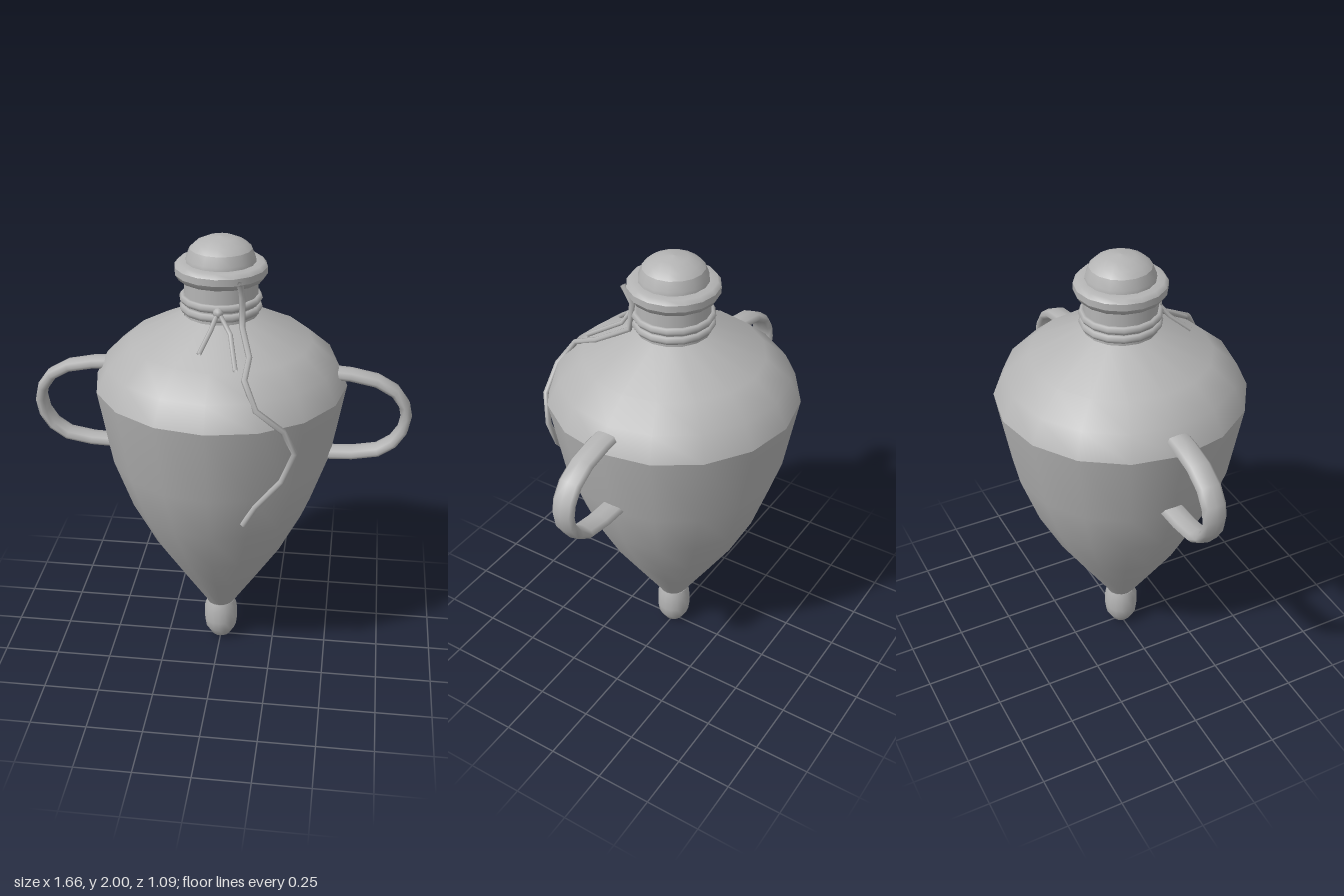
import * as THREE from 'three';

const SIDES = 16;

export function createModel() {
  const group = new THREE.Group();
  const clay = new THREE.MeshStandardMaterial({ color: 0xb4b4b4, side: THREE.DoubleSide });
  clay.name = 'grey clay';

  const add = (name, geometry) => {
    const mesh = new THREE.Mesh(geometry, clay);
    mesh.name = name;
    group.add(mesh);
    return mesh;
  };
  // Smooth turned section; separate sections meet in a sharp edge
  const turn = (name, profile) =>
    add(name, new THREE.LatheGeometry(profile.map(([r, y]) => new THREE.Vector2(r, y)), SIDES));

  // Tube whose rings sit exactly on the given points, keeping the bends angular
  const strand = (name, points, radius, sides) => {
    const curve = new THREE.CatmullRomCurve3(
      points.map((p) => new THREE.Vector3(...p)), false, 'catmullrom');
    curve.getUtoTmapping = (u) => u;
    return add(name, new THREE.TubeGeometry(curve, points.length - 1, radius, sides));
  };

  // Foot and body
  turn('foot', [[0, 0.005], [0.045, 0.02], [0.072, 0.065], [0.078, 0.11], [0.077, 0.17], [0.065, 0.21]]);
  turn('lowerBody', [[0.062, 0.21], [0.185, 0.4], [0.3, 0.58], [0.405, 0.79], [0.485, 1.02], [0.545, 1.36]]);
  turn('shoulder', [[0.545, 1.36], [0.495, 1.465], [0.39, 1.555], [0.16, 1.67]]);

  // Neck with two cord rings
  turn('neck', [[0.158, 1.665], [0.155, 1.83]]);
  for (const y of [1.7, 1.74]) {
    const ring = add('neckRing', new THREE.TorusGeometry(0.158, 0.018, 6, SIDES));
    ring.rotation.x = Math.PI / 2;
    ring.position.y = y;
  }

  // Lip
  turn('lipUnderside', [[0.15, 1.82], [0.18, 1.825], [0.195, 1.848]]);
  turn('lipRim', [[0.195, 1.848], [0.195, 1.877]]);
  turn('lipTop', [[0.195, 1.877], [0.18, 1.895], [0.14, 1.895]]);

  // Stopper
  turn('stopperSide', [[0.148, 1.89], [0.146, 1.91], [0.13, 1.95]]);
  turn('stopperDome', [[0.13, 1.95], [0.105, 1.973], [0.06, 1.993], [0, 2]]);

  // Flattened loop handles, one per side
  const loop = [[0.47, 1.418], [0.56, 1.412], [0.67, 1.39], [0.75, 1.345], [0.793, 1.285], [0.805, 1.23],
    [0.793, 1.165], [0.755, 1.105], [0.69, 1.06], [0.58, 1.04], [0.45, 1.035]];
  for (const [name, side] of [['leftHandle', 1], ['rightHandle', -1]]) {
    const handle = strand(name, loop.map(([x, y]) => [x * side, y, 0]), 0.025, 8);
    handle.scale.z = 2.15;
  }

  // Long cord hanging from the lip over the shoulder
  strand('longCord', [[0.1, 1.86, 0.18], [0.103, 1.79, 0.135], [0.106, 1.665, 0.15], [0.15, 1.59, 0.29],
    [0.143, 1.54, 0.405], [0.195, 1.44, 0.468], [0.305, 1.35, 0.455], [0.352, 1.235, 0.415],
    [0.3, 1.1, 0.415], [0.195, 0.98, 0.43], [0.145, 0.89, 0.43]], 0.013, 6);

  // Knot with two short loose ends
  const knot = add('knot', new THREE.SphereGeometry(0.022, 8, 6));
  knot.position.set(0.01, 1.73, 0.175);
  strand('shortCord', [[0.008, 1.73, 0.178], [-0.015, 1.67, 0.22], [-0.052, 1.6, 0.305]], 0.01, 6);
  strand('shortCord', [[0.015, 1.73, 0.178], [0.065, 1.655, 0.215], [0.103, 1.565, 0.37]], 0.01, 6);

  return group;
}
